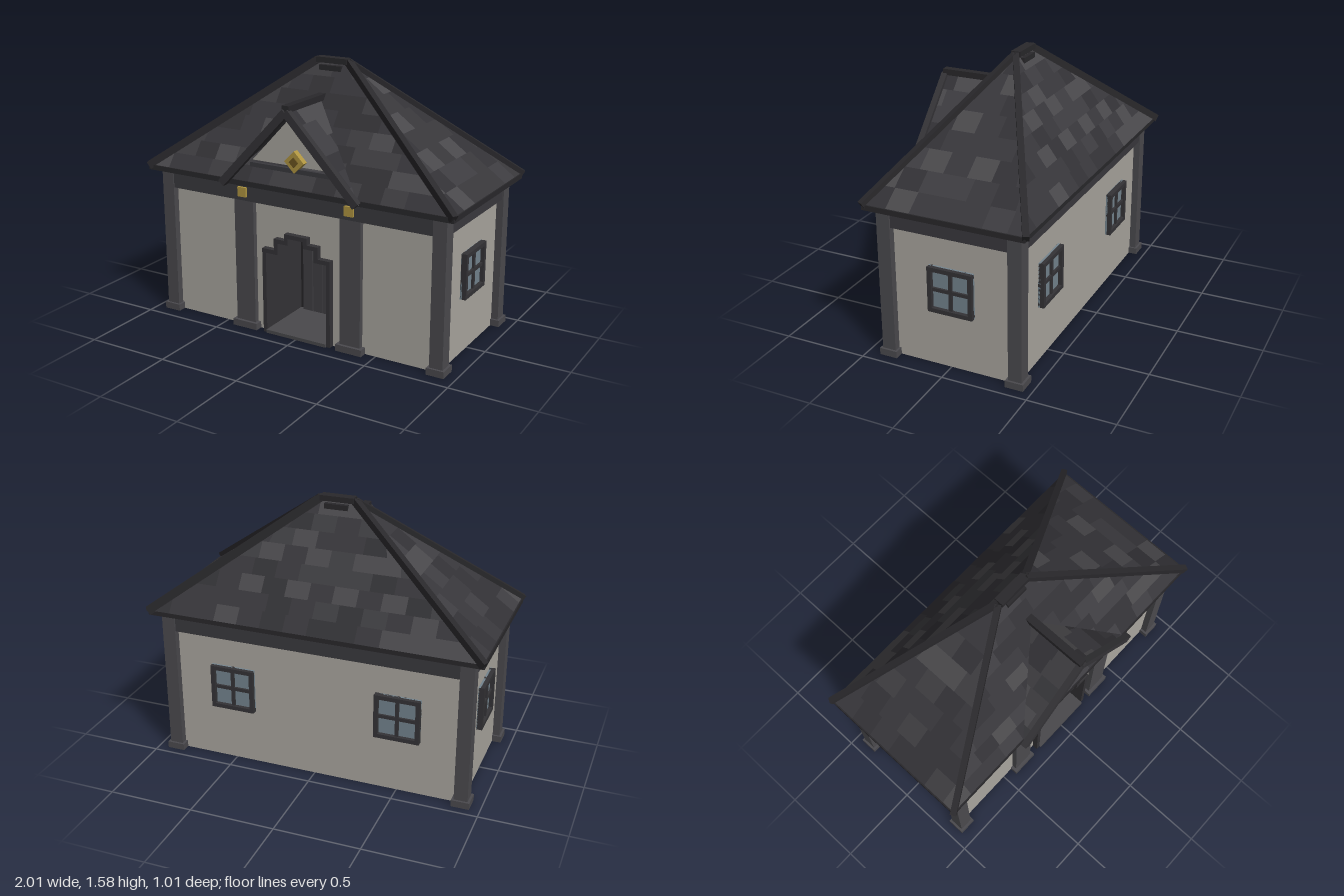
import * as THREE from 'three';
import { mergeGeometries } from 'three/addons/utils/BufferGeometryUtils.js';

const V = (x, y, z) => new THREE.Vector3(x, y, z);
const mat = (color) => new THREE.MeshStandardMaterial({ color, flatShading: true, side: THREE.DoubleSide });
const M = {
  wall: mat(0xaaa69f), post: mat(0x4b4a4e), beam: mat(0x3a393e), trim: mat(0x29282b),
  frame: mat(0x343336), door: mat(0x403f43), dark: mat(0x252427), floor: mat(0x4a494c),
  glass: mat(0x74848e), gold: mat(0xb09641), bronze: mat(0x6b5520),
};
const slates = [0x37363a, 0x323135, 0x3d3c40, 0x49484b].map(mat);
const ZC = -0.015; // centre of the house body

export function createModel() {
  const root = new THREE.Group();
  let seed = 7;
  const rand = () => (seed = (seed * 16807) % 2147483647) / 2147483647;

  const add = (name, geo, material, parent = root) => {
    const m = new THREE.Mesh(geo, material);
    m.name = name;
    parent.add(m);
    return m;
  };
  // box given by its lower and upper limits
  const box = (name, material, x0, x1, y0, y1, z0, z1, parent) => {
    const m = add(name, new THREE.BoxGeometry(x1 - x0, y1 - y0, z1 - z0), material, parent);
    m.position.set((x0 + x1) / 2, (y0 + y1) / 2, (z0 + z1) / 2);
    return m;
  };
  // square timber running from a to b
  const timber = (name, material, a, b, w, h) => {
    const m = add(name, new THREE.BoxGeometry(w, h, a.distanceTo(b)), material);
    m.position.copy(a).lerp(b, 0.5);
    m.lookAt(b);
    return m;
  };
  const extrude = (name, material, shape, z0, z1) => {
    const geo = new THREE.ExtrudeGeometry(shape, { depth: z1 - z0, bevelEnabled: false });
    return add(name, geo.translate(0, 0, z0), material);
  };

  // stepped doorway outline, grown outward by o
  const doorway = (o) => {
    const half = [[0.2 + o, 0], [0.2 + o, 0.495 + o], [0.12 + o, 0.495 + o], [0.12 + o, 0.565 + o],
      [0.05 + o, 0.565 + o], [0.05 + o, 0.605 + o]];
    return [...half, ...half.map(([x, y]) => [-x, y]).reverse()].map(([x, y]) => new THREE.Vector2(x, y));
  };

  // walls: solid rear block, and a front block cut by the doorway
  box('rearWalls', M.wall, -0.885, 0.885, 0, 0.89, -0.4, 0);
  const facade = new THREE.Shape([new THREE.Vector2(-0.885, 0), new THREE.Vector2(-0.885, 0.89),
    new THREE.Vector2(0.885, 0.89), new THREE.Vector2(0.885, 0), ...doorway(0.012)]);
  extrude('frontWalls', M.wall, facade, 0, 0.37);

  // deep door surround, floor and recessed plank door
  const ring = new THREE.Shape([...doorway(0.025), ...doorway(0).reverse()]);
  extrude('doorSurround', M.frame, ring, 0.005, 0.405);
  extrude('doorBack', M.dark, new THREE.Shape(doorway(0)), 0.005, 0.03);
  box('doorstep', M.floor, -0.2, 0.2, 0, 0.02, 0, 0.415);
  for (let i = 0; i < 5; i++) {
    const x = -0.14 + i * 0.07;
    const top = i === 0 || i === 4 ? 0.49 : 0.56;
    box('doorPlank', M.door, x - 0.032, x + 0.032, 0.02, top, 0.03, 0.05);
  }
  box('doorHandle', M.gold, 0.105, 0.137, 0.235, 0.267, 0.05, 0.07);
  box('handleCentre', M.bronze, 0.114, 0.128, 0.244, 0.258, 0.07, 0.075);

  // corner posts and front pillars with plinths
  const post = (name, x, z, w, d, e) => {
    box(name, M.post, x - w / 2, x + w / 2, 0.04, 0.89, z - d / 2, z + d / 2);
    box(name + 'Plinth', M.post, x - w / 2 - e, x + w / 2 + e, 0, 0.04, z - d / 2 - e, z + d / 2 + e);
  };
  for (const s of [-1, 1]) {
    post('frontCornerPost', s * 0.887, 0.37, 0.08, 0.08, 0.013);
    post('backCornerPost', s * 0.887, -0.4, 0.08, 0.08, 0.013);
    post('frontPillar', s * 0.35, 0.37, 0.13, 0.06, 0.018);
    box('goldStud', M.gold, s * 0.35 - 0.028, s * 0.35 + 0.028, 0.81, 0.867, 0.39, 0.42);
    box('sideBeam', M.beam, s * 0.887 - 0.03, s * 0.887 + 0.03, 0.785, 0.89, -0.37, 0.34);
  }
  box('frontBeam', M.beam, -0.85, 0.85, 0.785, 0.89, 0.35, 0.405);
  box('backBeam', M.beam, -0.85, 0.85, 0.785, 0.89, -0.432, -0.38);

  // four-pane windows, facing +z before turning
  const addWindow = (name, x, z, turn) => {
    const g = new THREE.Group();
    g.name = name;
    const r = 0.133;
    box('glass', M.glass, -r, r, -r, r, 0, 0.012, g);
    for (const s of [-1, 1]) {
      const c = s * (r - 0.012);
      box('frameRail', M.frame, -r, r, c - 0.012, c + 0.012, 0, 0.035, g);
      box('frameStile', M.frame, c - 0.012, c + 0.012, -r, r, 0, 0.035, g);
    }
    box('crossbar', M.frame, -r, r, -0.01, 0.01, 0, 0.025, g);
    box('mullion', M.frame, -0.01, 0.01, -r, r, 0, 0.025, g);
    g.position.set(x, 0.47, z);
    g.rotation.y = turn;
    root.add(g);
  };
  for (const s of [-1, 1]) {
    addWindow('sideWindow', s * 0.885, ZC, s * Math.PI / 2);
    addWindow('backWindow', s * 0.5, -0.4, Math.PI);
  }

  // slope of staggered slates; a,b are the bottom corners, c,d the top ones
  const slope = (name, a, b, c, d, rows, width) => {
    const e = b.clone().sub(a).normalize();
    const along = (p) => p.clone().sub(a).dot(e);
    const buckets = slates.map(() => []);
    for (let r = 0; r < rows; r++) {
      const edges = [r / rows, (r + 1) / rows].map((v) => [a.clone().lerp(c, v), b.clone().lerp(d, v)]);
      const lo = Math.min(...edges.map((p) => along(p[0])));
      const hi = Math.max(...edges.map((p) => along(p[1])));
      const at = (k, s) => {
        const [l, m] = edges[k];
        return l.clone().addScaledVector(e, THREE.MathUtils.clamp(s, along(l), along(m)) - along(l));
      };
      for (let s = lo - rand() * width; s < hi; s += width) {
        const [p, q, t, u] = [at(0, s), at(0, s + width), at(1, s + width), at(1, s)];
        const geo = new THREE.BufferGeometry().setFromPoints([p, q, t, p, t, u]);
        geo.computeVertexNormals();
        const k = rand();
        buckets[k < 0.4 ? 0 : k < 0.65 ? 1 : k < 0.88 ? 2 : 3].push(geo);
      }
    }
    buckets.forEach((list, i) => list.length && add(name, mergeGeometries(list), slates[i]));
  };

  // hipped main roof
  const [EX, EY, ZF, ZB, RX, RY, RZ] = [0.98, 0.92, 0.455, -0.487, 0.1, 1.555, -0.016];
  const fl = V(-EX, EY, ZF), fr = V(EX, EY, ZF), bl = V(-EX, EY, ZB), br = V(EX, EY, ZB);
  const rl = V(-RX, RY, RZ), rr = V(RX, RY, RZ);
  slope('frontRoof', fl, fr, rl, rr, 8, 0.14);
  slope('backRoof', br, bl, rr, rl, 8, 0.14);
  slope('rightRoof', bl, fl, rl, rl, 8, 0.14);
  slope('leftRoof', fr, br, rr, rr, 8, 0.14);
  box('eaves', M.trim, -0.985, 0.985, 0.892, 0.922, -0.485, 0.46);
  for (const [p, q] of [[fl, rl], [bl, rl], [fr, rr], [br, rr]]) {
    timber('hipBeam', M.trim, p.clone().lerp(q, -0.005), q, 0.035, 0.045);
  }
  box('ridgeCap', M.trim, -0.1, 0.1, 1.545, 1.577, RZ - 0.028, RZ + 0.028);
  box('ridgeCollar', M.trim, -0.07, 0.07, 1.505, 1.535, RZ - 0.04, RZ + 0.04);

  // front gable: slopes, barge boards, ridge, panel and ornament
  const top = 1.365, front = 0.475;
  slope('gableSlopeLeft', V(0.44, 0.9, front), V(0.44, 0.9, 0.455),
    V(0, top, front), V(0, top, 0.12), 6, 0.14);
  slope('gableSlopeRight', V(-0.44, 0.9, 0.455), V(-0.44, 0.9, front),
    V(0, top, 0.12), V(0, top, front), 6, 0.14);
  for (const s of [-1, 1]) {
    timber('bargeBoard', M.frame, V(s * 0.435, 0.9, 0.482), V(0, 1.358, 0.482), 0.036, 0.045);
  }
  timber('gableRidge', M.trim, V(0, 1.375, 0.095), V(0, 1.375, 0.49), 0.045, 0.036);
  const panel = new THREE.Shape([new THREE.Vector2(-0.4, 0.92), new THREE.Vector2(0.4, 0.92),
    new THREE.Vector2(0, 1.345)]);
  extrude('gablePanel', M.wall, panel, 0.35, 0.375);
  box('gableBeam', M.beam, -0.3, 0.3, 0.93, 1.02, 0.36, 0.4);
  const diamond = (name, material, w, z0, z1) => {
    const m = box(name, material, -w / 2, w / 2, 1.06 - w / 2, 1.06 + w / 2, z0, z1);
    m.rotation.z = Math.PI / 4;
  };
  diamond('goldDiamond', M.gold, 0.09, 0.37, 0.41);
  diamond('diamondCentre', M.bronze, 0.042, 0.41, 0.416);

  return root;
}
